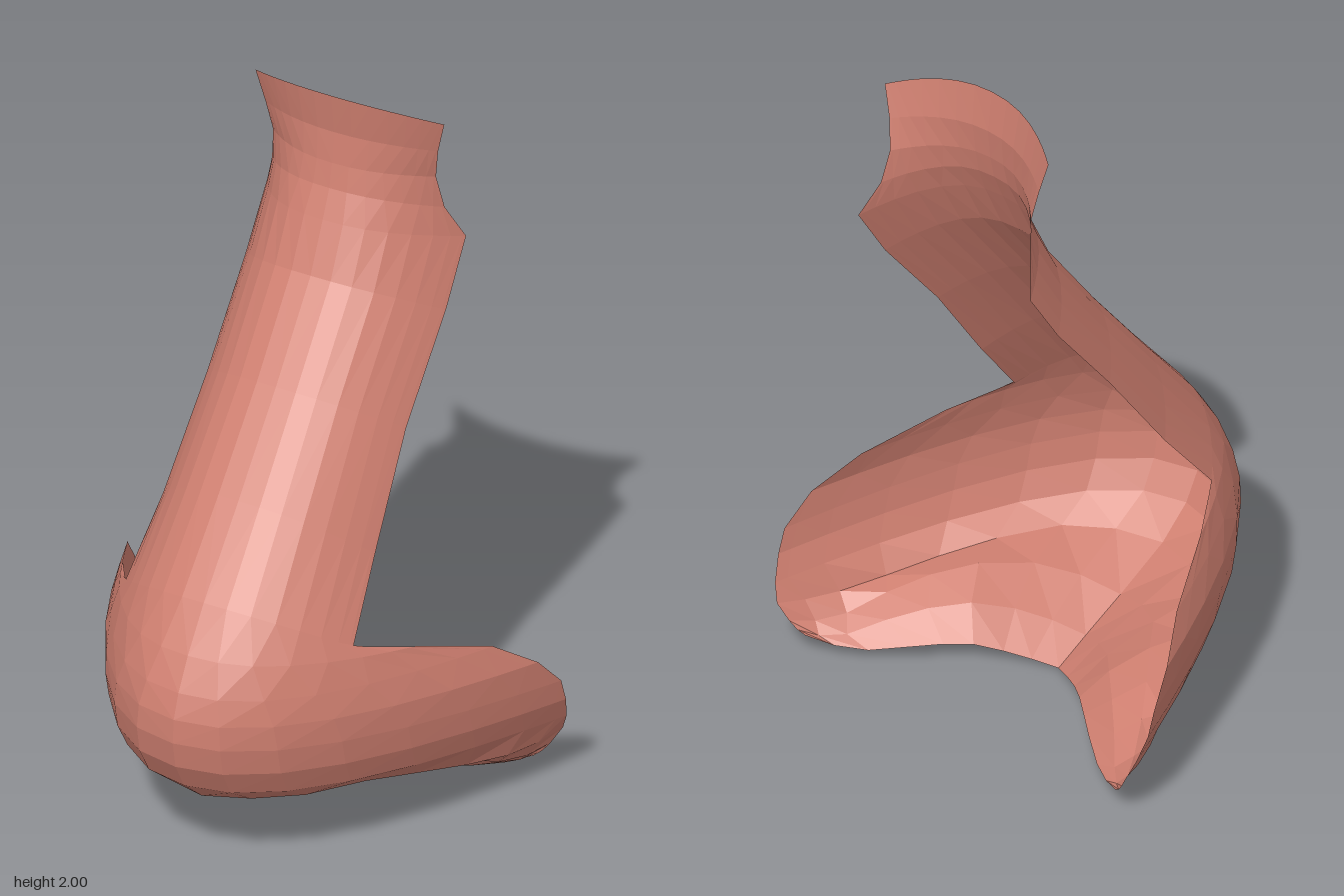
import * as THREE from 'three';

const COLS = 8; // columns on each side of the centre line

// Cross-sections from the top of the bridge down to the nostril rim:
// centre y, z; outer edge x, y, z; power of the arch between them
const ARCHES = [
  [2.0, -0.33, 0.29, 1.945, -0.43, 2.1],
  [1.88, -0.345, 0.265, 1.85, -0.44, 2.1],
  [1.79, -0.335, 0.25, 1.76, -0.455, 2.2],
  [1.72, -0.32, 0.265, 1.66, -0.475, 2.4],
  [1.64, -0.285, 0.305, 1.56, -0.52, 2.5],
  [1.5, -0.22, 0.307, 1.39, -0.41, 2.6],
  [1.25, -0.035, 0.305, 1.13, -0.2, 2.6],
  [1.0, 0.165, 0.325, 0.85, 0.0, 2.6],
  [0.78, 0.35, 0.35, 0.65, 0.16, 2.4],
  [0.66, 0.435, 0.45, 0.6, 0.0, 2.3],
  [0.57, 0.485, 0.56, 0.52, -0.22, 2.2],
  [0.5, 0.51, 0.63, 0.43, -0.34, 2.1],
  [0.43, 0.515, 0.655, 0.34, -0.42, 2.1],
  [0.35, 0.5, 0.655, 0.27, -0.445, 2.1],
  [0.27, 0.455, 0.64, 0.2, -0.475, 2.1],
];

// Underside sections, dented where the nostrils are
const UNDERSIDE = [
  [[0, 0.19, 0.36], [0.2, 0.2, 0.28], [0.36, 0.19, 0.05], [0.48, 0.15, -0.17], [0.57, 0.13, -0.36], [0.62, 0.15, -0.49]],
  [[0, 0.11, 0.19], [0.17, 0.16, 0.12], [0.32, 0.19, -0.06], [0.44, 0.14, -0.22], [0.53, 0.08, -0.37], [0.59, 0.1, -0.475]],
  [[0, 0.05, 0.05], [0.13, 0.1, -0.02], [0.26, 0.14, -0.15], [0.39, 0.1, -0.28], [0.5, 0.05, -0.4], [0.57, 0.075, -0.465]],
  [[0, 0, -0.06], [0.1, 0.03, -0.12], [0.2, 0.06, -0.2], [0.3, 0.05, -0.285], [0.44, 0.03, -0.39], [0.55, 0.06, -0.455]],
];

// Half section from the centre line to the outer edge
function archRow([cy, cz, ex, ey, ez, power]) {
  return Array.from({ length: COLS + 1 }, (_, i) => {
    const r = Math.sin((i / COLS) * Math.PI / 2);
    const d = r ** power;
    return new THREE.Vector3(ex * r, cy + (ey - cy) * d, cz + (ez - cz) * d);
  });
}

function curveRow(points) {
  return new THREE.CatmullRomCurve3(points.map(p => new THREE.Vector3(...p))).getPoints(COLS);
}

// Mirrors each half section and joins neighbouring sections into one sheet
function sheet(halfRows) {
  const rows = halfRows.map(half => [
    ...half.slice(1).reverse().map(p => new THREE.Vector3(-p.x, p.y, p.z)),
    ...half,
  ]);
  const width = rows[0].length;
  const index = [];
  for (let j = 0; j < rows.length - 1; j++) {
    for (let i = 0; i < width - 1; i++) {
      const a = j * width + i, b = a + 1, c = a + width, d = c + 1;
      // Mirror the diagonals so both sides match
      if (i < COLS) index.push(a, c, d, a, d, b);
      else index.push(a, c, b, b, c, d);
    }
  }
  const geometry = new THREE.BufferGeometry().setFromPoints(rows.flat());
  geometry.setIndex(index);
  geometry.computeVertexNormals();
  return geometry;
}

export function createModel() {
  const group = new THREE.Group();
  group.name = 'nose';
  const skin = new THREE.MeshStandardMaterial({
    name: 'skin', color: 0xcf7f70, flatShading: true, side: THREE.DoubleSide,
  });

  const add = (name, rows) => {
    const mesh = new THREE.Mesh(sheet(rows), skin);
    mesh.name = name;
    group.add(mesh);
  };

  const arches = ARCHES.map(archRow);
  add('bridge', arches.slice(0, 9));
  add('tipAndWings', arches.slice(8));
  add('nostrilUnderside', [arches[arches.length - 1], ...UNDERSIDE.map(curveRow)]);
  return group;
}
